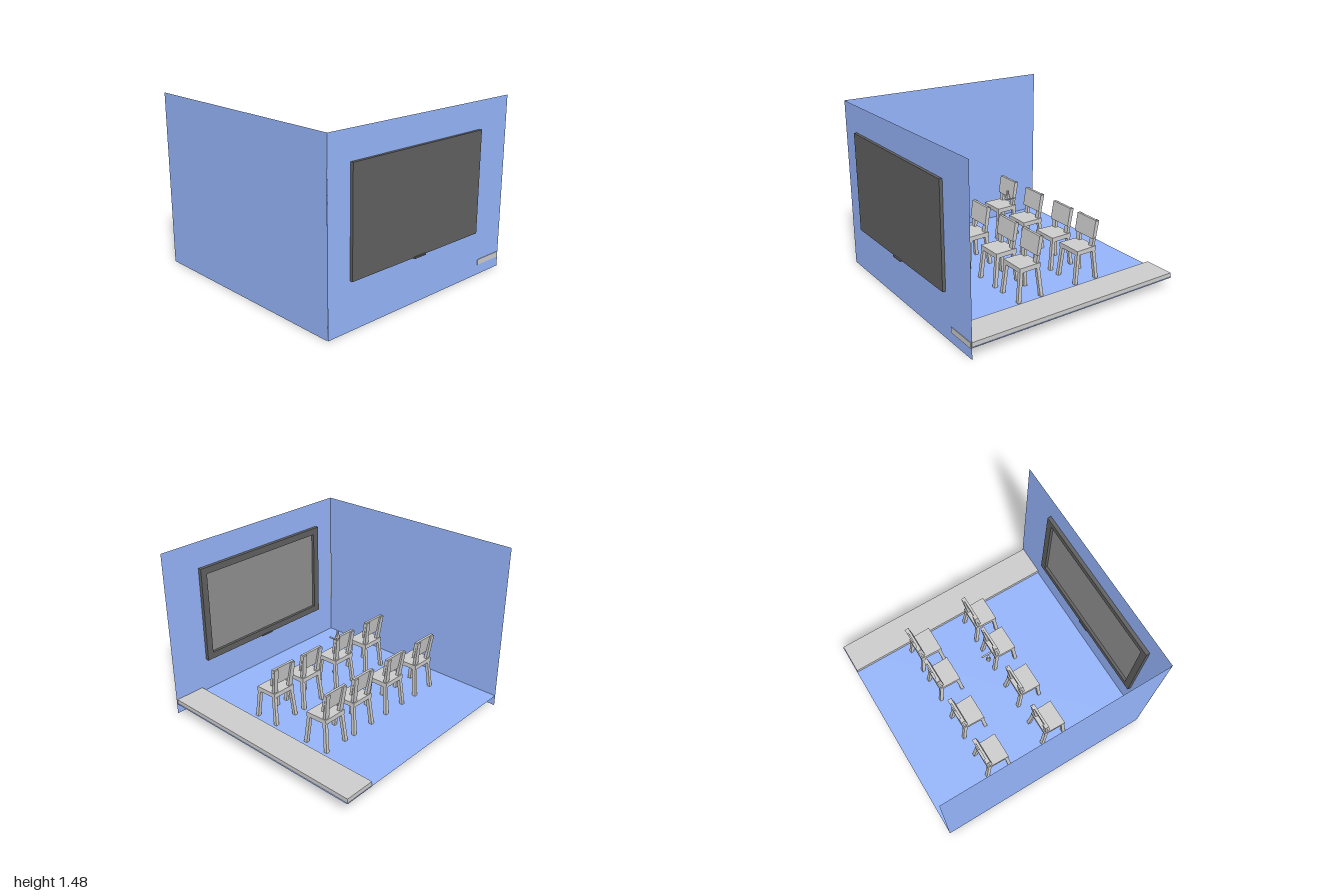
import * as THREE from 'three';

const grey = new THREE.MeshStandardMaterial({ color: 0xcccccc, flatShading: true });
const dark = new THREE.MeshStandardMaterial({ color: 0x606060, flatShading: true });
const screenGrey = new THREE.MeshStandardMaterial({ color: 0x8f8f8f, flatShading: true });
const blue = new THREE.MeshStandardMaterial({ color: 0x95b4fa, side: THREE.DoubleSide });

function add(parent, name, geometry, material) {
  const mesh = new THREE.Mesh(geometry, material);
  mesh.name = name;
  parent.add(mesh);
  return mesh;
}

// Box given by its minimum and maximum on each axis
function box(x0, x1, y0, y1, z0, z1) {
  return new THREE.BoxGeometry(x1 - x0, y1 - y0, z1 - z0)
    .translate((x0 + x1) / 2, (y0 + y1) / 2, (z0 + z1) / 2);
}

// Slanted bar between two points, cut level at both ends
function bar(a, b, w, d) {
  const g = new THREE.BoxGeometry(w, b[1] - a[1], d);
  const p = g.attributes.position;
  for (let i = 0; i < p.count; i++) {
    const e = p.getY(i) > 0 ? b : a;
    p.setXYZ(i, p.getX(i) + e[0], e[1], p.getZ(i) + e[2]);
  }
  g.computeVertexNormals();
  return g;
}

// Chair facing +z, origin on the floor below the seat centre
function createChair() {
  const chair = new THREE.Group();
  chair.name = 'chair';

  // Seat, slightly wider at the front
  const seat = box(-0.115, 0.115, 0.25, 0.29, -0.1, 0.1);
  const p = seat.attributes.position;
  for (let i = 0; i < p.count; i++) if (p.getZ(i) < 0) p.setX(i, p.getX(i) * 0.95);
  add(chair, 'seat', seat, grey);

  for (const s of [-1, 1]) {
    add(chair, 'frontLeg', bar([s * 0.109, 0, 0.11], [s * 0.096, 0.26, 0.082], 0.03, 0.03), grey);
    add(chair, 'rearLeg', bar([s * 0.109, 0, -0.107], [s * 0.092, 0.26, -0.078], 0.03, 0.03), grey);
    add(chair, 'backPost', bar([s * 0.08, 0.28, -0.075], [s * 0.095, 0.512, -0.105], 0.042, 0.026), grey);
  }
  // Backrest panel in front of the posts
  add(chair, 'backrest', bar([0, 0.36, -0.069], [0, 0.517, -0.094], 0.23, 0.022), grey);
  return chair;
}

// Wall screen with a raised frame on the room side
function createScreen() {
  const tv = new THREE.Group();
  tv.name = 'wallScreen';
  const [x0, x1, y0, y1, b] = [-0.77, 0.63, 0.39, 1.25, 0.06];
  const rect = (T, m) => new T([[x0 + m, y0 + m], [x1 - m, y0 + m], [x1 - m, y1 - m], [x0 + m, y1 - m]]
    .map(([x, y]) => new THREE.Vector2(x, y)));
  const outline = rect(THREE.Shape, 0);
  outline.holes.push(rect(THREE.Path, b));
  add(tv, 'screenFrame', new THREE.ExtrudeGeometry(outline, { depth: 0.03, bevelEnabled: false })
    .translate(0, 0, 0.93), dark);
  add(tv, 'screenBack', box(x0, x1, y0, y1, 0.96, 0.987), dark);
  add(tv, 'screenPanel', box(x0 + b, x1 - b, y0 + b, y1 - b, 0.955, 0.961), screenGrey);
  add(tv, 'screenTab', box(-0.13, -0.01, 0.385, 0.397, 0.924, 1.0), dark);
  return tv;
}

export function createModel() {
  const room = new THREE.Group();
  room.name = 'classroom';

  // Floor and two thin walls
  add(room, 'floor', new THREE.PlaneGeometry(1.96, 1.96).rotateX(-Math.PI / 2)
    .translate(0, 0.096, -0.02), blue);
  add(room, 'frontWall', new THREE.PlaneGeometry(1.96, 1.48).translate(0, 0.74, 0.962), blue);
  add(room, 'sideWall', new THREE.PlaneGeometry(1.96, 1.48).rotateY(Math.PI / 2)
    .translate(-0.98, 0.74, -0.02), blue);

  // Raised strip along the open side
  add(room, 'platform', box(0.7, 0.97, 0.087, 0.133, -0.995, 0.967), grey);

  room.add(createScreen());

  // Two rows of four chairs
  for (const z of [-0.363, 0.203]) {
    for (const x of [-0.622, -0.222, 0.188, 0.515]) {
      const chair = createChair();
      chair.position.set(x, 0.097, z);
      room.add(chair);
    }
  }

  // Small hanging fitting with a thin plate beside it
  const fitting = new THREE.Group();
  fitting.name = 'hangingFitting';
  add(fitting, 'fittingBase', new THREE.CylinderGeometry(0.012, 0.023, 0.03, 8), grey).position.y = 0.725;
  add(fitting, 'fittingStem', new THREE.CylinderGeometry(0.011, 0.011, 0.035, 8), grey).position.y = 0.753;
  add(fitting, 'fittingPlate', box(0.034, 0.048, 0.707, 0.714, -0.04, 0.05), grey);
  fitting.position.set(-0.002, 0, -0.018);
  room.add(fitting);

  return room;
}
